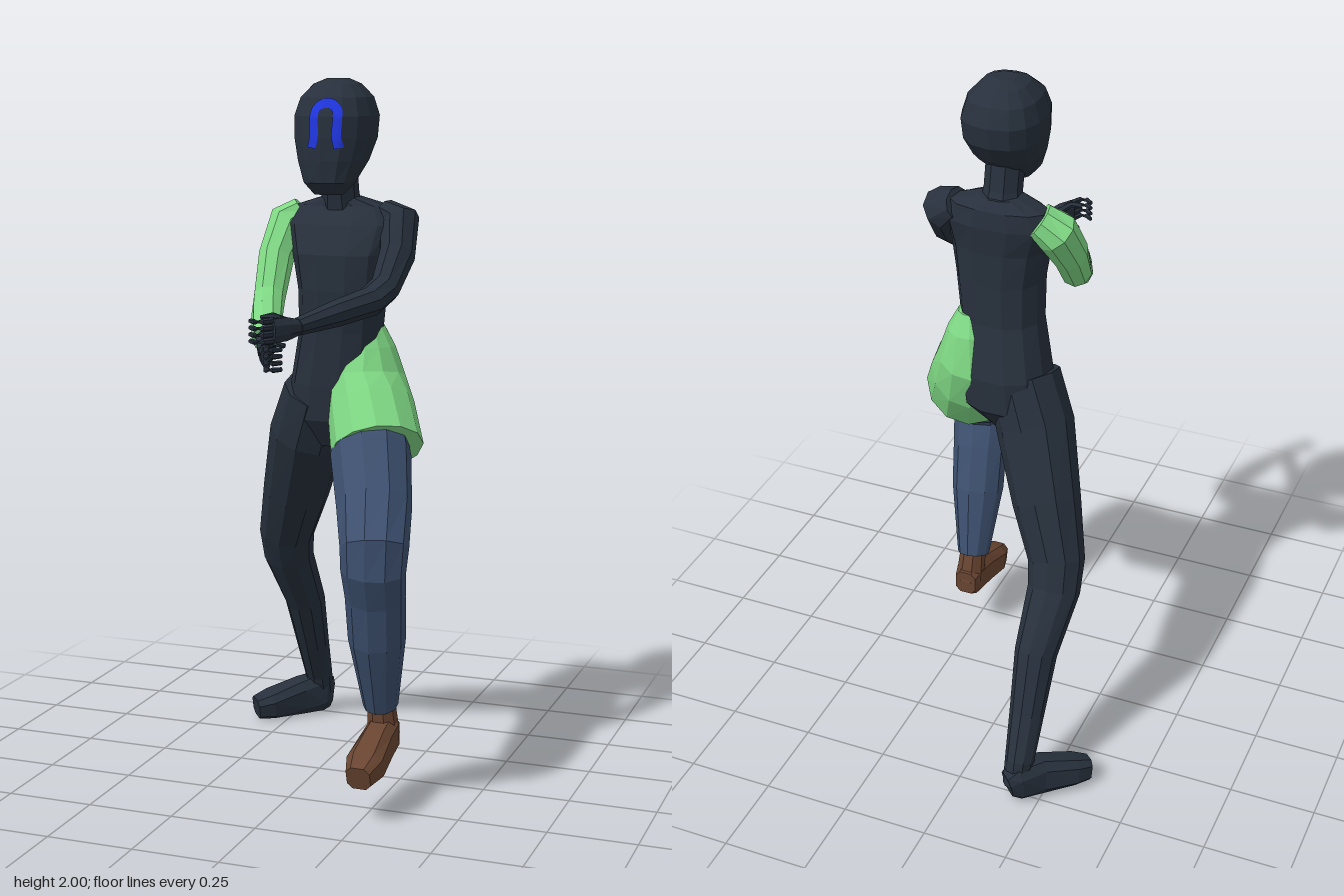
import * as THREE from 'three';

const mat = (name, color) => {
  const m = new THREE.MeshStandardMaterial({ color });
  m.name = name;
  return m;
};

// Closed loft through rings [x, y, z, halfWidth, halfDepth]; fixed sets one ring normal for all rings
function loft(rings, sides = 10, { fixed = null, power = 1 } = {}) {
  const centres = rings.map(r => new THREE.Vector3(r[0], r[1], r[2]));
  const last = rings.length - 1;
  const pos = [], index = [];
  rings.forEach((r, i) => {
    const t = fixed ? fixed.clone() : new THREE.Vector3();
    if (!fixed) {
      if (i > 0) t.add(centres[i].clone().sub(centres[i - 1]).normalize());
      if (i < last) t.add(centres[i + 1].clone().sub(centres[i]).normalize());
      t.normalize();
    }
    const w = new THREE.Vector3(1, 0, 0).addScaledVector(t, -t.x).normalize();
    const d = t.clone().cross(w);
    for (let j = 0; j < sides; j++) {
      const a = (j + 0.5) / sides * Math.PI * 2;
      const c = Math.cos(a), s = Math.sin(a);
      const p = centres[i].clone()
        .addScaledVector(w, Math.sign(c) * Math.abs(c) ** power * r[3])
        .addScaledVector(d, Math.sign(s) * Math.abs(s) ** power * r[4]);
      pos.push(p.x, p.y, p.z);
    }
  });
  const n0 = rings.length * sides;
  for (const c of [centres[0], centres[last]]) pos.push(c.x, c.y, c.z);
  for (let j = 0; j < sides; j++) {
    const k = (j + 1) % sides;
    for (let i = 0; i < last; i++) {
      const a = i * sides + j, b = i * sides + k;
      index.push(a, b, b + sides, a, b + sides, a + sides);
    }
    index.push(n0, k, j, n0 + 1, last * sides + j, last * sides + k);
  }
  const g = new THREE.BufferGeometry();
  g.setAttribute('position', new THREE.Float32BufferAttribute(pos, 3));
  g.setIndex(index);
  const flat = g.toNonIndexed(); // faceted normals
  flat.computeVertexNormals();
  return flat;
}

export function createModel() {
  const model = new THREE.Group();
  model.name = 'figure';
  const dark = mat('charcoal', 0x27303c);
  const green = mat('green', 0x7fd884);
  const denim = mat('denim', 0x3d506f);
  const brown = mat('brown', 0x694531);
  const blue = mat('bright blue', 0x2036e0);
  blue.side = THREE.DoubleSide;
  const up = new THREE.Vector3(0, 1, 0);

  const add = (name, geometry, material, parent = model) => {
    const m = new THREE.Mesh(geometry, material);
    m.name = name;
    parent.add(m);
    return m;
  };

  // Torso and neck
  add('torso', loft([
    [0.03, 0.97, -0.04, 0.05, 0.06], [0.03, 1.05, -0.045, 0.125, 0.115],
    [0.04, 1.15, -0.04, 0.13, 0.12], [0.06, 1.3, -0.015, 0.118, 0.1],
    [0.068, 1.42, -0.005, 0.125, 0.103], [0.066, 1.52, -0.005, 0.14, 0.102],
    [0.06, 1.6, -0.03, 0.165, 0.085], [0.058, 1.65, -0.045, 0.14, 0.062],
    [0.055, 1.675, -0.035, 0.055, 0.05],
  ], 12, { fixed: up, power: 0.85 }), dark);
  add('neck', loft([
    [0.055, 1.63, -0.035, 0.062, 0.06], [0.055, 1.68, -0.02, 0.053, 0.053],
    [0.055, 1.77, 0, 0.053, 0.053],
  ], 8), dark);

  // Head: [y, front z, back z, half width]
  const headRows = [
    [1.687, 0.105, 0.045, 0.04], [1.72, 0.136, 0.0, 0.07], [1.78, 0.143, -0.075, 0.094],
    [1.84, 0.143, -0.118, 0.109], [1.9, 0.138, -0.127, 0.112], [1.95, 0.115, -0.106, 0.097],
    [1.985, 0.072, -0.068, 0.064], [2.0, 0.03, -0.03, 0.03],
  ];
  const head = add('head', loft(
    headRows.map(([y, f, b, w]) => [0.055, y, (f + b) / 2, w, (f - b) / 2]),
    14, { fixed: up, power: 0.8 }), dark);

  // Painted arch on the face, laid onto the head surface
  const path = [[0.03, 1.815], [0.037, 1.85], [0.035, 1.885]];
  for (let i = 1; i < 8; i++) {
    const a = Math.PI * (1 - i / 8);
    path.push([0.068 + 0.034 * Math.cos(a), 1.9 + 0.036 * Math.sin(a)]);
  }
  path.push([0.101, 1.885], [0.099, 1.85], [0.106, 1.815]);
  const curve = new THREE.CatmullRomCurve3(path.map(([x, y]) => new THREE.Vector3(x, y, 0)));
  const steps = 40, across = 4, ray = new THREE.Raycaster();
  head.updateMatrixWorld(true);
  const arch = new THREE.PlaneGeometry(1, 1, across, steps);
  for (let i = 0; i <= steps; i++) {
    const p = curve.getPointAt(i / steps), t = curve.getTangentAt(i / steps);
    for (let j = 0; j <= across; j++) {
      const o = (j / across - 0.5) * 0.026;
      const x = p.x + t.y * o, y = p.y - t.x * o;
      ray.set(new THREE.Vector3(x, y, 1), new THREE.Vector3(0, 0, -1));
      const hit = ray.intersectObject(head)[0];
      arch.attributes.position.setXYZ(i * (across + 1) + j, x, y, (hit ? hit.point.z : 0.13) + 0.004);
    }
  }
  arch.computeVertexNormals();
  add('faceArch', arch, blue);

  // Right leg, stretched back
  add('rightLeg', loft([
    [-0.01, 1.12, -0.035, 0.105, 0.11], [-0.06, 0.99, -0.07, 0.112, 0.112],
    [-0.13, 0.8, -0.155, 0.098, 0.098], [-0.185, 0.65, -0.215, 0.082, 0.074],
    [-0.192, 0.57, -0.25, 0.076, 0.066], [-0.178, 0.41, -0.35, 0.061, 0.062],
    [-0.183, 0.25, -0.43, 0.05, 0.05], [-0.187, 0.13, -0.493, 0.042, 0.046],
    [-0.185, 0.05, -0.512, 0.04, 0.04],
  ], 10), dark);
  add('rightFoot', loft([
    [-0.165, 0.055, -0.532, 0.03, 0.05], [-0.185, 0.063, -0.51, 0.047, 0.063],
    [-0.235, 0.058, -0.455, 0.046, 0.058], [-0.31, 0.043, -0.385, 0.05, 0.043],
    [-0.345, 0.035, -0.355, 0.035, 0.034],
  ], 8, { power: 0.65 }), dark);

  // Left leg, lifted forward
  add('leftTrouserLeg', loft([
    [0.165, 1.05, 0.03, 0.098, 0.098], [0.19, 0.97, 0.1, 0.113, 0.112],
    [0.243, 0.85, 0.225, 0.104, 0.1], [0.275, 0.765, 0.315, 0.094, 0.09],
    [0.274, 0.7, 0.32, 0.09, 0.076], [0.268, 0.62, 0.285, 0.084, 0.072],
    [0.26, 0.49, 0.245, 0.08, 0.075], [0.25, 0.28, 0.18, 0.049, 0.051],
  ], 10), denim);
  const boot = new THREE.Group();
  boot.name = 'leftBoot';
  model.add(boot);
  add('bootAnkle', loft([
    [0.25, 0.31, 0.182, 0.038, 0.036], [0.255, 0.19, 0.165, 0.045, 0.045],
  ], 8), brown, boot);
  add('bootFoot', loft([
    [0.255, 0.192, 0.125, 0.035, 0.04], [0.255, 0.192, 0.16, 0.045, 0.058],
    [0.256, 0.177, 0.23, 0.047, 0.056], [0.257, 0.15, 0.33, 0.054, 0.047],
    [0.256, 0.133, 0.385, 0.036, 0.036],
  ], 8, { power: 0.65 }), brown, boot);

  // Green half skirt around the left hip
  add('hipSkirt', loft([
    [0.135, 1.315, -0.04, 0.042, 0.06], [0.133, 1.26, -0.04, 0.075, 0.092],
    [0.13, 1.17, -0.035, 0.108, 0.122], [0.155, 1.09, 0, 0.122, 0.134],
    [0.2, 0.985, 0.075, 0.13, 0.133],
  ], 12), green);

  // Arms
  add('leftArm', loft([
    [0.175, 1.635, -0.055, 0.035, 0.05], [0.22, 1.605, -0.042, 0.06, 0.062],
    [0.238, 1.52, 0.03, 0.05, 0.055], [0.234, 1.44, 0.12, 0.042, 0.043],
    [0.213, 1.41, 0.18, 0.042, 0.041], [0.16, 1.39, 0.31, 0.038, 0.036],
    [0.1, 1.368, 0.435, 0.024, 0.024],
  ], 9), dark);
  add('rightSleeve', loft([
    [-0.065, 1.63, -0.055, 0.04, 0.055], [-0.108, 1.595, -0.042, 0.06, 0.062],
    [-0.12, 1.5, 0.03, 0.05, 0.056], [-0.108, 1.4, 0.11, 0.045, 0.046],
    [-0.09, 1.365, 0.17, 0.044, 0.042], [-0.03, 1.315, 0.325, 0.041, 0.036],
  ], 9), green);
  add('rightWrist', loft([
    [-0.036, 1.318, 0.31, 0.032, 0.029], [0.012, 1.297, 0.435, 0.022, 0.022],
  ], 8), dark);

  // Hands: palm, four stacked curled fingers and a thumb
  const hand = (name, wrist, knuckle, curl, thumb) => {
    const g = new THREE.Group();
    g.name = name;
    model.add(g);
    const mid = wrist.map((v, i) => (v + knuckle[i]) / 2);
    add('palm', loft([
      [...wrist, 0.022, 0.022], [...mid, 0.019, 0.034], [...knuckle, 0.014, 0.034],
    ], 8), dark, g);
    for (let f = 0; f < 4; f++) {
      const y = knuckle[1] + 0.026 - f * 0.0175;
      add('finger', loft([[knuckle[0], y, knuckle[2] - 0.004, 0.009, 0.009],
        ...curl.map(([x, z], i) => [x, y, z, 0.0085 - i * 0.0012, 0.0085 - i * 0.0012])], 6), dark, g);
    }
    add('thumb', loft(thumb.map((p, i) => [...p, 0.012 - i * 0.0025, 0.012 - i * 0.0025]), 6), dark, g);
  };
  hand('leftHand', [0.102, 1.368, 0.43], [0.06, 1.365, 0.508],
    [[0.045, 0.535], [0.025, 0.541], [0.006, 0.525]],
    [[0.08, 1.385, 0.46], [0.05, 1.4, 0.478], [0.02, 1.395, 0.49]]);
  hand('rightHand', [0.011, 1.297, 0.43], [0.03, 1.288, 0.478],
    [[0.04, 0.502], [0.058, 0.504], [0.075, 0.482]],
    [[0.018, 1.315, 0.44], [0.045, 1.326, 0.455], [0.075, 1.32, 0.46]]);

  return model;
}
